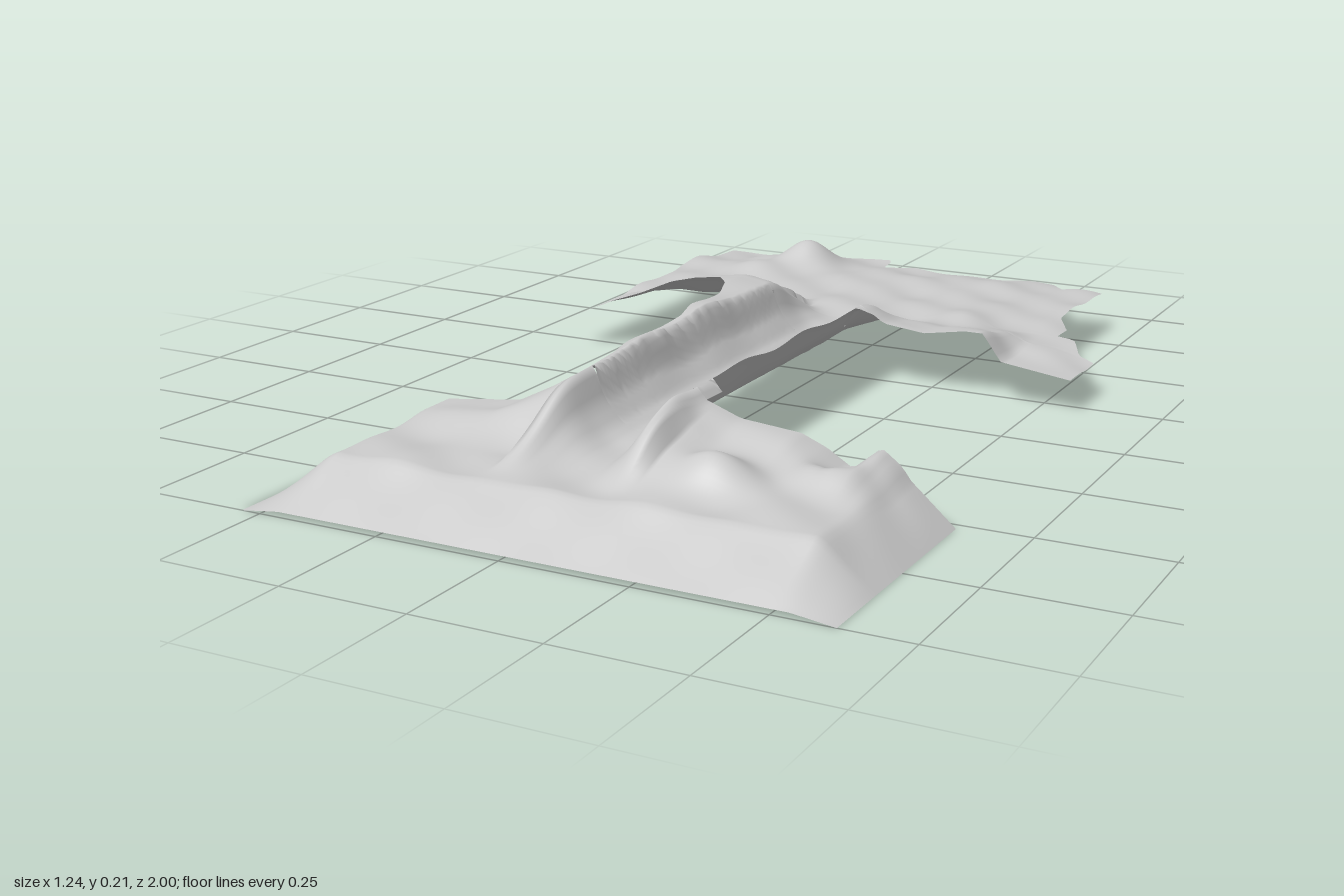
import * as THREE from 'three';

const { lerp, smoothstep } = THREE.MathUtils;

// piecewise-linear curve through [position, value] points
function curve(points, t) {
  if (t <= points[0][0]) return points[0][1];
  for (let i = 1; i < points.length; i++) {
    const [a, va] = points[i - 1], [b, vb] = points[i];
    if (t <= b) return lerp(va, vb, (t - a) / (b - a));
  }
  return points[points.length - 1][1];
}

const hill = (x, z, cx, cz, rx, rz, h) => h * Math.exp(-(((x - cx) / rx) ** 2) - ((z - cz) / rz) ** 2);

const rough = (x, z) =>
  0.5 * Math.sin(17 * x + 9 * z) * Math.sin(13 * z - 8 * x + 1) + 0.5 * Math.sin(31 * x - 12 * z + 2) * Math.sin(27 * z + 7 * x);

// height across the gully where it meets each plain
const frontRim = [[-0.54, 0.08], [-0.43, 0.09], [-0.27, 0.11], [-0.19, 0.15], [-0.105, 0.2], [-0.085, 0.14],
  [-0.05, 0.1], [-0.02, 0.086], [0.02, 0.086], [0.05, 0.1], [0.08, 0.145], [0.108, 0.19], [0.13, 0.165], [0.2, 0.14],
  [0.32, 0.13], [0.37, 0.11], [0.42, 0.08], [0.475, 0.125], [0.53, 0.085]];
const backRim = [[-0.6, 0.07], [-0.5, 0.115], [-0.43, 0.14], [-0.35, 0.175], [-0.29, 0.19], [-0.18, 0.205], [-0.105, 0.195],
  [-0.085, 0.14], [-0.05, 0.1], [-0.02, 0.086], [0.03, 0.088], [0.07, 0.125], [0.105, 0.175], [0.16, 0.14],
  [0.25, 0.13], [0.34, 0.145], [0.38, 0.145], [0.42, 0.09], [0.57, 0.07]];

function frontHeight(x, z) {
  const gully = Math.abs(x) < 0.14;
  const fade = 1 - smoothstep(z, gully ? 0.56 : 0.53, gully ? 0.83 : 0.74);
  let y = lerp(0.08, curve(frontRim, x), fade);
  const open = smoothstep(z, 0.52, 0.62);
  y += open * (hill(x, z, 0.25, 0.72, 0.09, 0.06, 0.06) + hill(x, z, 0.13, 0.7, 0.05, 0.08, 0.03)
    + hill(x, z, -0.27, 0.62, 0.08, 0.06, 0.02) + hill(x, z, 0.42, 0.64, 0.06, 0.05, 0.03));
  y += 0.008 * open * rough(x, z);
  // banks fall to the ground at the front and both sides
  const side = Math.min(x + 0.54, 0.615 - x);
  const bank = Math.min(1, side / 0.1) * Math.min(1, (1 - z) / 0.14);
  return 0.01 * Math.min(1, side / 0.08 + 0.0) + (y - 0.01) * bank;
}

function backHeight(x, z) {
  const reach = x < -0.13 ? 0.3 : 0.24;
  const fade = 1 - smoothstep(-z, 0.2, 0.2 + reach);
  const plain = 0.095 - 0.022 * smoothstep(-z, 0.75, 1) - 0.02 * smoothstep(Math.abs(x), 0.4, 0.6);
  const open = smoothstep(-z, 0.2, 0.32);
  return lerp(plain, curve(backRim, x), fade) + open * (hill(x, z, -0.31, -0.82, 0.07, 0.07, 0.055)
    + hill(x, z, -0.4, -0.7, 0.08, 0.07, 0.02) + hill(x, z, 0.25, -0.45, 0.06, 0.08, 0.015) + 0.009 * rough(x, z));
}

function gullyHeight(x, z) {
  const t = smoothstep(z, -0.2, 0.52);
  const ends = Math.sin(Math.PI * (z + 0.2) / 0.72);
  const wall = smoothstep(Math.abs(x), 0.04, 0.1);
  return lerp(curve(backRim, x), curve(frontRim, x), t) + wall * ends * (0.006 * Math.sin(23 * z) + (x < -0.11 ? 0.012 : 0));
}

// outlines in plan
const backLeft = [[-1, -0.62], [-0.72, -0.62], [-0.64, -0.6], [-0.2, -0.6]];
const backRight = [[-1, 0.42], [-0.65, 0.42], [-0.56, 0.46], [-0.485, 0.46], [-0.475, 0.5], [-0.39, 0.535], [-0.38, 0.57], [-0.2, 0.57]];
const backEdge = [[-0.17, -1], [-0.155, -0.91], [-0.12, -0.91], [-0.08, -0.93], [0.28, -0.93], [0.325, -0.85], [0.42, -0.86]];
const gullyLeft = [[-0.2, -0.23], [-0.13, -0.18], [-0.06, -0.155], [0.02, -0.145], [0.07, -0.15], [0.14, -0.135], [0.25, -0.155],
  [0.33, -0.15], [0.39, -0.138], [0.52, -0.195]];
const gullyRight = [[-0.2, 0.135], [-0.175, 0.108], [0.455, 0.105], [0.46, 0.13], [0.52, 0.13]];

// grid sheet: place(u, v) gives plan position, height(x, z) lifts it
function sheet(name, columns, rows, place, height) {
  const geometry = new THREE.PlaneGeometry(1, 1, columns, rows);
  const { position, uv } = geometry.attributes;
  for (let i = 0; i < position.count; i++) {
    const [x, z] = place(uv.getX(i), 1 - uv.getY(i));
    position.setXYZ(i, x, Math.max(0, height(x, z)), z);
  }
  geometry.computeVertexNormals();
  const mesh = new THREE.Mesh(geometry, new THREE.MeshStandardMaterial({ color: 0xcccccc, side: THREE.DoubleSide }));
  mesh.name = name;
  return mesh;
}

export function createModel() {
  const group = new THREE.Group();
  group.name = 'terrain';

  // low plain with sloping banks
  group.add(sheet('frontPlain', 110, 44, (u, v) => [lerp(-0.54, 0.615, u), lerp(0.52, 1, v)], frontHeight));

  // sunken path with raised walls
  group.add(sheet('gully', 36, 72, (u, v) => {
    const z = lerp(-0.2, 0.52, v);
    return [lerp(curve(gullyLeft, z), curve(gullyRight, z), u), z];
  }, gullyHeight));

  // raised plain with a ragged outline
  group.add(sheet('backPlain', 110, 72, (u, v) => {
    const row = lerp(-1, -0.2, v);
    const x = lerp(curve(backLeft, row), curve(backRight, row), u);
    return [x, lerp(curve(backEdge, x), -0.2, v)];
  }, backHeight));

  return group;
}
